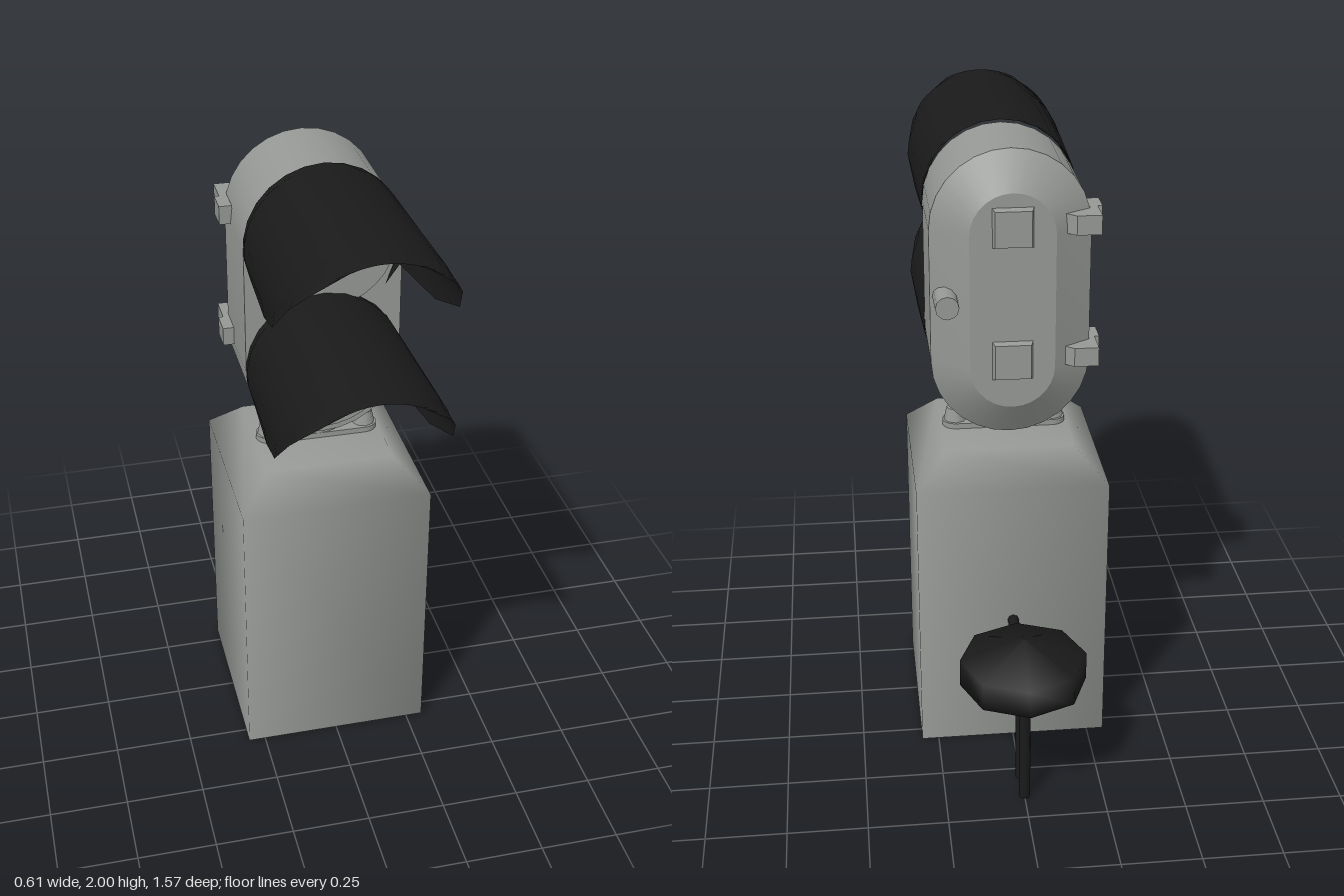
import * as THREE from 'three';
import { toCreasedNormals } from 'three/addons/utils/BufferGeometryUtils.js';

const grey = new THREE.MeshStandardMaterial({ color: 0x959895, side: THREE.DoubleSide });
grey.name = 'grey paint';
const black = new THREE.MeshStandardMaterial({ color: 0x1a1a1a, side: THREE.DoubleSide });
black.name = 'black paint';

const LAMPS = [1.75, 1.33];   // lamp centre heights

// Skin a row of cross-sections that all have the same number of points
function loft(rings) {
  const n = rings[0].length, index = [];
  for (let r = 0; r < rings.length - 1; r++) {
    for (let i = 0; i < n - 1; i++) {
      const a = r * n + i, b = a + 1, c = a + n, d = c + 1;
      index.push(a, c, b, b, c, d);
    }
  }
  const g = new THREE.BufferGeometry();
  g.setAttribute('position', new THREE.Float32BufferAttribute(rings.flat(2), 3));
  g.setIndex(index);
  g.computeVertexNormals();
  return g;
}

// Upright rounded-end outline at depth z
function stadium(r, z) {
  const pts = [], n = 14;
  for (const [cy, start] of [[1.745, 0], [1.325, Math.PI]]) {
    for (let i = 0; i <= n; i++) {
      const t = start + Math.PI * i / n;
      pts.push([r * Math.cos(t), cy + r * Math.sin(t), z]);
    }
  }
  pts.push([...pts[0]]);
  return pts;
}

// Hood shell: an arch whose lower edge rises towards the tip
function hoodGeometry() {
  // depth, lower edge relative to the lamp centre, half width
  const stations = [
    [0.1, -0.09, 0.246], [0.118, -0.16, 0.247], [0.128, -0.092, 0.248], [0.43, -0.06, 0.258],
    [0.61, 0.005, 0.264], [0.7, 0.1, 0.262], [0.745, 0.15, 0.26], [0.785, 0.222, 0.26],
  ];
  const r = 0.248, n = 16;
  return loft(stations.map(([z, edge, w]) => {
    const half = Math.acos(edge / r);
    return Array.from({ length: n + 1 }, (_, i) => {
      const t = half * (1 - 2 * i / n);
      return [w * Math.sin(t), r * Math.cos(t), z];
    });
  }));
}

export function createModel() {
  const model = new THREE.Group();
  const add = (name, geometry, material, x = 0, y = 0, z = 0) => {
    const m = new THREE.Mesh(geometry, material);
    m.name = name;
    m.position.set(x, y, z);
    model.add(m);
    return m;
  };

  // Pedestal: hollow square housing with sloped shoulders, open below
  const profile = [[0.305, 0], [0.305, 0.92], [0.205, 1.02], [0, 1.02]]
    .map(([half, y]) => new THREE.Vector2(half * Math.SQRT2, y));
  add('pedestal', new THREE.LatheGeometry(profile, 4, Math.PI / 4), grey);

  // Mounting flange, neck and bolts
  const flange = new THREE.Shape();
  flange.absarc(0.155, 0, 0.045, -Math.PI / 2, Math.PI / 2);
  flange.absarc(-0.155, 0, 0.045, Math.PI / 2, Math.PI * 1.5);
  const flangeGeo = new THREE.ExtrudeGeometry(flange, { depth: 0.02, bevelEnabled: false });
  flangeGeo.rotateX(-Math.PI / 2);
  add('mountingFlange', flangeGeo, grey, 0, 1.018, 0);
  add('neck', new THREE.CylinderGeometry(0.075, 0.075, 0.09, 16), grey, 0, 1.07, 0).scale.z = 0.6;
  for (const s of [-1, 1]) {
    add('flangeBolt', new THREE.CylinderGeometry(0.028, 0.038, 0.045, 8), grey, s * 0.158, 1.058, 0);
  }

  // Signal head with chamfered back
  const point = (z) => stadium(0, z).map(() => [0, 1.535, z]);
  const head = loft([
    point(0.1), stadium(0.245, 0.1), stadium(0.245, -0.2), stadium(0.13, -0.275), point(-0.275),
  ]);
  add('signalHead', toCreasedNormals(head, 0.5), grey);

  // Latch outline seen from above, hooked around the rear left edge of the head
  const latch = new THREE.Shape([
    [-0.28, 0.1], [-0.24, 0.1], [-0.24, 0.19], [-0.15, 0.24], [-0.19, 0.275], [-0.265, 0.275],
    [-0.265, 0.18], [-0.28, 0.18],
  ].map(([x, y]) => new THREE.Vector2(x, y)));
  const latchGeo = new THREE.ExtrudeGeometry(latch, { depth: 0.06, bevelEnabled: false });
  latchGeo.rotateX(-Math.PI / 2);

  // Tapered back plate
  const bossGeo = new THREE.CylinderGeometry(0.055 * Math.SQRT2, 0.065 * Math.SQRT2, 0.03, 4).toNonIndexed();
  bossGeo.rotateY(Math.PI / 4);
  bossGeo.rotateX(-Math.PI / 2);
  bossGeo.computeVertexNormals();

  const hood = hoodGeometry();
  for (const y of LAMPS) {
    const lens = new THREE.CylinderGeometry(0.228, 0.228, 0.009, 32);
    lens.rotateX(Math.PI / 2);
    add('lens', lens, grey, 0, y, 0.104);
    add('hood', hood, black, 0, y, 0);
    add('backPlate', bossGeo, grey, 0, y + 0.02, -0.28);
    add('latch', latchGeo, grey, 0, y - 0.01, 0);
  }

  // Cable inlet on the back
  const inlet = new THREE.CylinderGeometry(0.036, 0.038, 0.14, 12);
  inlet.rotateX(-Math.PI / 2);
  add('cableInlet', inlet, grey, 0.2, 1.54, -0.245);

  // Junction box behind the pedestal, on two conduits
  const cap = [[0, 0.4], [0.197, 0.4], [0.197, 0.49], [0, 0.555]].map((p) => new THREE.Vector2(...p));
  add('junctionBox', new THREE.LatheGeometry(cap, 8), black, 0, 0, -0.592);
  const arm = new THREE.CylinderGeometry(0.018, 0.018, 0.13, 8);
  arm.rotateX(Math.PI / 2);
  add('junctionArm', arm, black, 0, 0.448, -0.36);
  for (const z of [-0.54, -0.64]) {
    add('conduit', new THREE.CylinderGeometry(0.018, 0.018, 0.41, 8), black, 0, 0.205, z);
  }
  return model;
}
